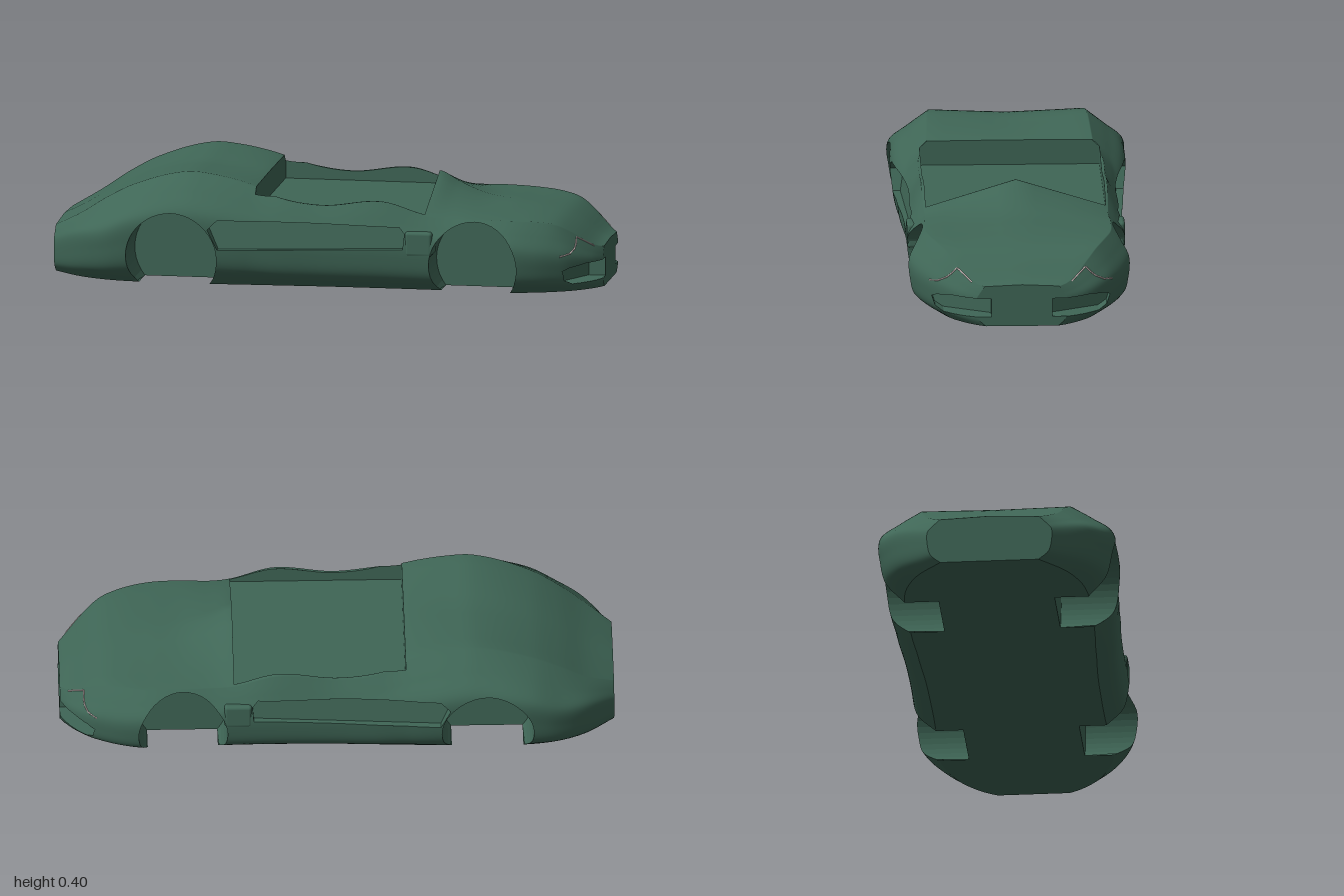
import * as THREE from 'three';
import { RoundedBoxGeometry } from 'three/addons/geometries/RoundedBoxGeometry.js';

const V = (x, y, z) => new THREE.Vector3(x, y, z);
const paint = new THREE.MeshStandardMaterial({ color: 0x3f6656, side: THREE.DoubleSide });
paint.name = 'green paint';
const lampGrey = new THREE.MeshStandardMaterial({ color: 0xc4b4b4 });
lampGrey.name = 'lamp grey';

// Stations along the car: x, half width, waist height, shoulder z, shoulder y, centre y
const stations = [
  [-1, .225, .12, .18, .17, .178], [-.9, .335, .17, .23, .226, .23], [-.8, .395, .2, .255, .292, .292],
  [-.7, .42, .24, .27, .345, .34], [-.5, .42, .27, .285, .402, .385], [-.4, .42, .26, .29, .395, .38],
  [-.3, .415, .24, .295, .375, .37], [-.245, .41, .23, .3, .358, .36], [-.15, .405, .21, .33, .322, .322],
  [0, .395, .2, .335, .302, .302], [.22, .39, .2, .335, .322, .325], [.375, .39, .19, .332, .277, .38],
  [.45, .392, .185, .33, .27, .342], [.55, .4, .185, .335, .27, .302], [.68, .402, .175, .33, .266, .283],
  [.78, .375, .16, .3, .26, .267], [.85, .34, .15, .268, .245, .249], [.9, .305, .14, .235, .215, .22],
  [.975, .215, .11, .17, .158, .163], [1, .165, .1, .135, .148, .154],
];
const profile = new THREE.CubicInterpolant(
  stations.map((s) => s[0]), stations.flatMap((s) => s.slice(1)), 5);

// Half outline of the body at x, from the sill up to the centre line, as (z, y)
function halfSection(x) {
  const [hw, yw, zs, ys, yc] = profile.evaluate(x);
  const pts = new THREE.SplineCurve([
    [.79 * hw, 0], [.95 * hw, .26 * yw], [hw, .62 * yw], [hw, yw],
    [(hw + zs) / 2 + .03 * (hw - zs), (yw + ys) / 2 + .03 * (ys - yw)], [zs, ys],
  ].map((p) => new THREE.Vector2(...p))).getPoints(40);
  for (let i = 1; i <= 5; i++) pts.push(new THREE.Vector2(zs * (1 - i / 5), ys + (yc - ys) * i / 5));
  return pts;
}

function loop(x) {
  const half = halfSection(x);
  const other = half.slice(0, -1).reverse().map((p) => new THREE.Vector2(-p.x, p.y));
  return [...half, ...other].map((p) => V(x, p.y, p.x));
}

function inside(p) {
  if (Math.abs(p.x) > 1) return false;
  const pts = loop(p.x);
  let hit = false;
  pts.forEach((a, i) => {
    const b = pts[(i + 1) % pts.length];
    if ((a.y > p.y) !== (b.y > p.y) && p.z < a.z + (b.z - a.z) * (p.y - a.y) / (b.y - a.y)) hit = !hit;
  });
  return hit;
}

// Point where a line from inside the body leaves its skin
function exitPoint(base, dir) {
  if (!inside(base)) return base.clone();
  let lo = 0, hi = .4;
  for (let i = 0; i < 16; i++) {
    const mid = (lo + hi) / 2;
    if (inside(base.clone().addScaledVector(dir, mid))) lo = mid; else hi = mid;
  }
  return base.clone().addScaledVector(dir, lo);
}

// Polygons are lists of { p, n } corners
function flatPoly(points, facing) {
  const n = V(0, 0, 0);
  points.forEach((p, i) => n.add(p.clone().cross(points[(i + 1) % points.length])));
  if (n.dot(facing) < 0) { points = [...points].reverse(); n.negate(); }
  n.normalize();
  return points.map((p) => ({ p, n }));
}

function loft(rows) {
  const w = rows[0].length, index = [];
  for (let i = 0; i < rows.length - 1; i++) for (let j = 0; j < w - 1; j++) {
    const a = i * w + j, b = a + w;
    index.push(a, b, a + 1, b, b + 1, a + 1);
  }
  const g = new THREE.BufferGeometry().setFromPoints(rows.flat());
  g.setIndex(index);
  g.computeVertexNormals();
  const corners = index.map((k) => ({
    p: V().fromBufferAttribute(g.attributes.position, k), n: V().fromBufferAttribute(g.attributes.normal, k),
  }));
  return Array.from({ length: index.length / 3 }, (_, i) => corners.slice(i * 3, i * 3 + 3));
}

function split(poly, plane) {
  const out = [], inn = [];
  poly.forEach((a, i) => {
    const b = poly[(i + 1) % poly.length];
    const da = plane.distanceToPoint(a.p), db = plane.distanceToPoint(b.p);
    (da > 0 ? out : inn).push(a);
    if ((da > 0) !== (db > 0)) {
      const t = da / (da - db);
      const c = { p: a.p.clone().lerp(b.p, t), n: a.n.clone().lerp(b.n, t).normalize() };
      out.push(c);
      inn.push(c);
    }
  });
  return [out, inn];
}

// Cut a convex pocket into the skin; returns the new skin and the pocket lining
function carve(skin, corners, dir, divisions) {
  const centre = corners.reduce((s, p) => s.add(p), V(0, 0, 0)).divideScalar(corners.length);
  const floor = flatPoly(corners, dir);
  const planes = [new THREE.Plane().setFromNormalAndCoplanarPoint(floor[0].n.clone().negate(), centre)];
  const lining = [floor];
  corners.forEach((a, i) => {
    const b = corners[(i + 1) % corners.length];
    const n = b.clone().sub(a).cross(dir).normalize();
    if (n.dot(centre.clone().sub(a)) > 0) n.negate();
    planes.push(new THREE.Plane().setFromNormalAndCoplanarPoint(n, a));
    for (let k = 0; k < divisions; k++) {
      const p = a.clone().lerp(b, k / divisions), q = a.clone().lerp(b, (k + 1) / divisions);
      lining.push(flatPoly([p, q, exitPoint(q, dir), exitPoint(p, dir)], n.clone().negate()));
    }
  });
  const rest = [];
  for (const poly of skin) {
    const kept = [];
    let rem = poly;
    for (const plane of planes) {
      const [out, inn] = split(rem, plane);
      if (out.length > 2) kept.push(out);
      rem = inn;
      if (rem.length < 3) break;
    }
    // the far side of the body, behind the floor, stays whole
    if (rem.length < 3) rest.push(poly); else rest.push(...kept);
  }
  return [rest, lining];
}

function polyMesh(polys, name) {
  const pos = [], nor = [];
  for (const poly of polys) for (let i = 1; i < poly.length - 1; i++) {
    for (const c of [poly[0], poly[i], poly[i + 1]]) {
      pos.push(...c.p.toArray());
      nor.push(...c.n.toArray());
    }
  }
  const g = new THREE.BufferGeometry();
  g.setAttribute('position', new THREE.Float32BufferAttribute(pos, 3));
  g.setAttribute('normal', new THREE.Float32BufferAttribute(nor, 3));
  const m = new THREE.Mesh(g, paint);
  m.name = name;
  return m;
}

export function createModel() {
  const car = new THREE.Group();
  car.name = 'carBody';

  // Outer skin, flat underside and both ends
  const rows = Array.from({ length: 121 }, (_, i) => loop(-1 + i / 60));
  let skin = [...loft(rows), ...loft(rows.map((r) => [r[r.length - 1], r[0]]))];
  for (const [row, s] of [[rows[0], -1], [rows[120], 1]]) {
    row.forEach((p, i) => skin.push(
      flatPoly([V(s, .08, 0), p, row[(i + 1) % row.length]], V(s, 0, 0))));
  }
  const pocket = (name, corners, dir, divisions) => {
    const [rest, lining] = carve(skin, corners, dir, divisions);
    skin = rest;
    car.add(polyMesh(lining, name));
  };

  // Open cockpit
  pocket('cockpit', [[-.245, -.325], [.375, -.325], [.375, .325], [-.245, .325]]
    .map(([x, z]) => V(x, .268, z)), V(0, 1, 0), 24);

  for (const s of [1, -1]) {
    // Wheel wells, open at the bottom
    for (const [name, cx, cy, r] of [['rearWheelWell', -.54, .105, .166], ['frontWheelWell', .56, .1, .161]]) {
      const a0 = -Math.asin(cy / r), sweep = Math.PI - 2 * a0;
      const arc = Array.from({ length: 33 }, (_, i) => {
        const a = a0 + sweep * i / 32;
        return V(cx + r * Math.cos(a), cy + r * Math.sin(a) - .0005, .21 * s);
      });
      pocket(name, arc, V(0, 0, s), 3);
    }
    // Sunken panel along the door
    pocket('doorPanel', [[-.37, .14], [-.405, .215], [-.37, .25], [.29, .237], [.31, .215], [.305, .16]]
      .map(([x, y]) => V(x, y, (.38 - .025 * x - .18 * (y - .14)) * s)), V(0, 0, s), 16);

    // Nose intakes with a slanted back
    pocket('noseIntake', [[.11, .035], [.28, .033], [.31, .05], [.322, .085], [.305, .096], [.25, .105], [.11, .102]]
      .map(([z, y]) => V(.94 - .6 * (z - .11), y, z * s)), V(1, 0, 0), 6);

    // Small block behind the front wheel
    const vent = new THREE.Mesh(new RoundedBoxGeometry(.1, .09, .1, 3, .012), paint);
    vent.name = 'sideVent';
    vent.position.set(.362, .18, .344 * s);
    car.add(vent);

    // Thin zigzag lamp strip lying on the nose
    const path = new THREE.CurvePath();
    const pts = [[.33, .14], [.3, .147], [.27, .162], [.25, .178], [.232, .197], [.205, .177], [.18, .157]]
      .map(([z, y]) => exitPoint(V(.7, y, z * s), V(1, 0, 0)));
    for (let i = 1; i < pts.length; i++) path.add(new THREE.LineCurve3(pts[i - 1], pts[i]));
    const lamp = new THREE.Mesh(new THREE.TubeGeometry(path, 48, .003, 6), lampGrey);
    lamp.name = 'headlampStrip';
    car.add(lamp);
  }
  car.add(polyMesh(skin, 'bodyShell'));
  return car;
}
